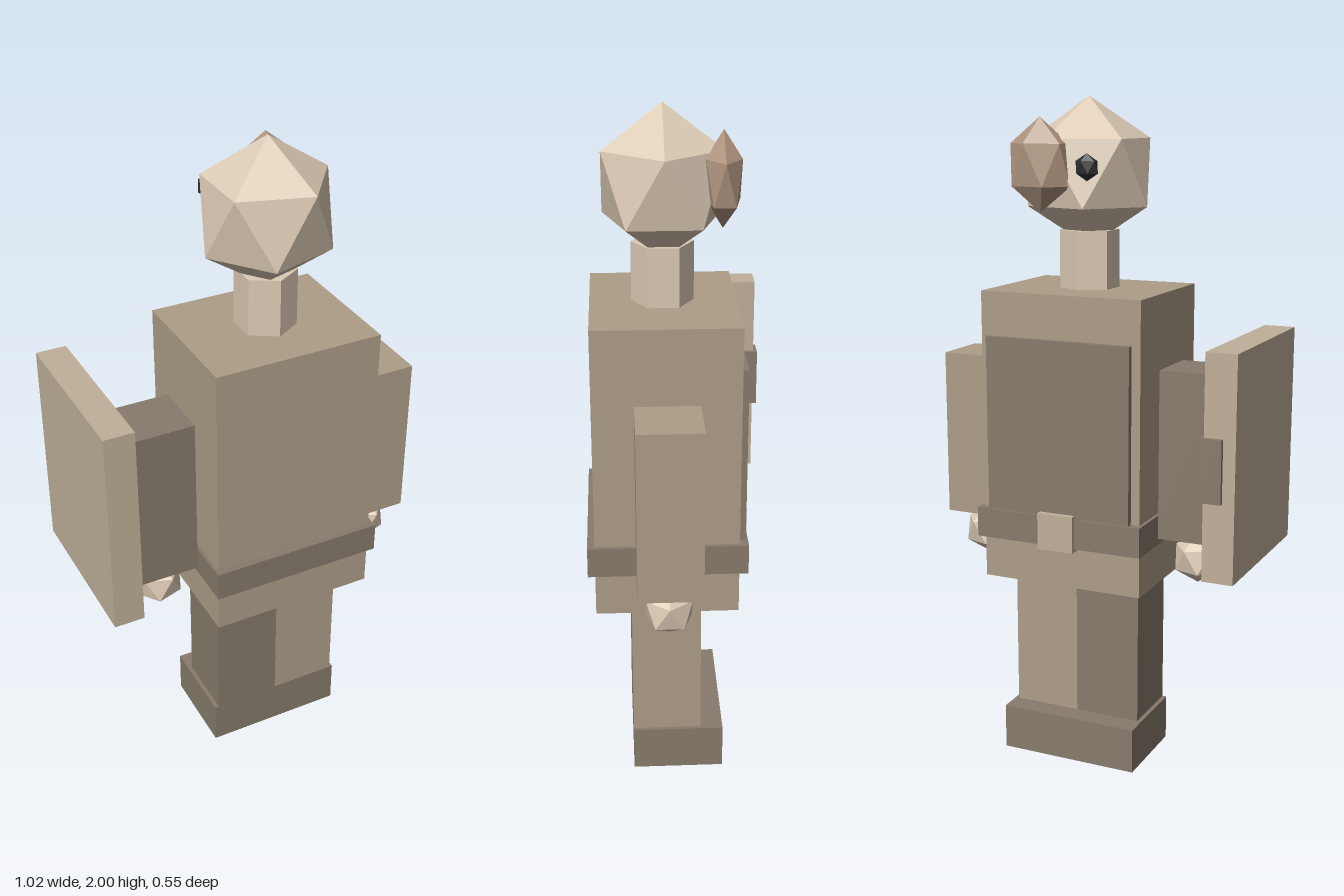
import * as THREE from 'three';

const mat = (color) => new THREE.MeshStandardMaterial({ color, flatShading: true });
const CLOTH = mat(0xad9d88);
const DARK = mat(0x877b6c);
const WOOD = mat(0xc0b099);
const SKIN = mat(0xdccab4);
const HAIR = mat(0xb0957f);
const BLACK = mat(0x2c2d30);

export function createModel() {
  const model = new THREE.Group();
  model.name = 'figure';

  const add = (name, geometry, material) => {
    const mesh = new THREE.Mesh(geometry, material);
    mesh.name = name;
    model.add(mesh);
    return mesh;
  };

  // Box given by its limits on each axis
  const box = (name, material, [x0, x1], [y0, y1], [z0, z1]) =>
    add(name, new THREE.BoxGeometry(x1 - x0, y1 - y0, z1 - z0), material)
      .position.set((x0 + x1) / 2, (y0 + y1) / 2, (z0 + z1) / 2);

  // Icosahedron standing on a corner, stretched to three radii
  const gem = (name, material, centre, radii) => {
    const geometry = new THREE.IcosahedronGeometry(1, 0);
    geometry.rotateZ(-Math.atan(2 / (1 + Math.sqrt(5))));
    geometry.scale(...radii);
    add(name, geometry, material).position.set(...centre);
  };

  // Head, hair bun and hair bead
  gem('head', SKIN, [0.062, 1.785, 0.047], [0.205, 0.215, 0.196]);
  gem('hairBun', HAIR, [0.14, 1.809, -0.113], [0.105, 0.133, 0.057]);
  gem('hairBead', BLACK, [-0.018, 1.806, -0.139], [0.038, 0.038, 0.02]);

  // Six-sided neck
  add('neck', new THREE.CylinderGeometry(0.088, 0.088, 0.19, 6), SKIN)
    .position.set(0.061, 1.525, 0.048);

  // Body with belt, back panel and belt tab
  box('torso', CLOTH, [-0.192, 0.313], [0.58, 1.45], [-0.16, 0.254]);
  box('belt', DARK, [-0.202, 0.326], [0.71, 0.80], [-0.185, 0.275]);
  box('backPanel', DARK, [-0.165, 0.29], [0.77, 1.32], [-0.179, -0.15]);
  box('beltTab', WOOD, [0.005, 0.118], [0.70, 0.81], [-0.198, -0.15]);

  // Arms with hands
  box('leftArm', CLOTH, [0.326, 0.509], [0.73, 1.235], [-0.046, 0.137]);
  box('rightArm', DARK, [-0.386, -0.203], [0.73, 1.235], [-0.046, 0.137]);
  for (const [name, x] of [['leftHand', 0.418], ['rightHand', -0.296]]) {
    gem(name, SKIN, [x, 0.657, 0.047], [0.079, 0.077, 0.077]);
  }

  // Legs side by side on one block of feet
  box('leftLeg', CLOTH, [0.06, 0.266], [0.138, 0.58], [-0.054, 0.15]);
  box('rightLeg', DARK, [-0.144, 0.06], [0.138, 0.58], [-0.054, 0.15]);
  box('feet', DARK, [-0.157, 0.277], [0, 0.138], [-0.122, 0.15]);

  // Shield beside the right arm, with its edge fitting
  box('shield', WOOD, [-0.513, -0.422], [0.70, 1.34], [-0.264, 0.24]);
  box('shieldFitting', DARK, [-0.477, -0.41], [0.927, 1.107], [-0.276, -0.21]);

  return model;
}
